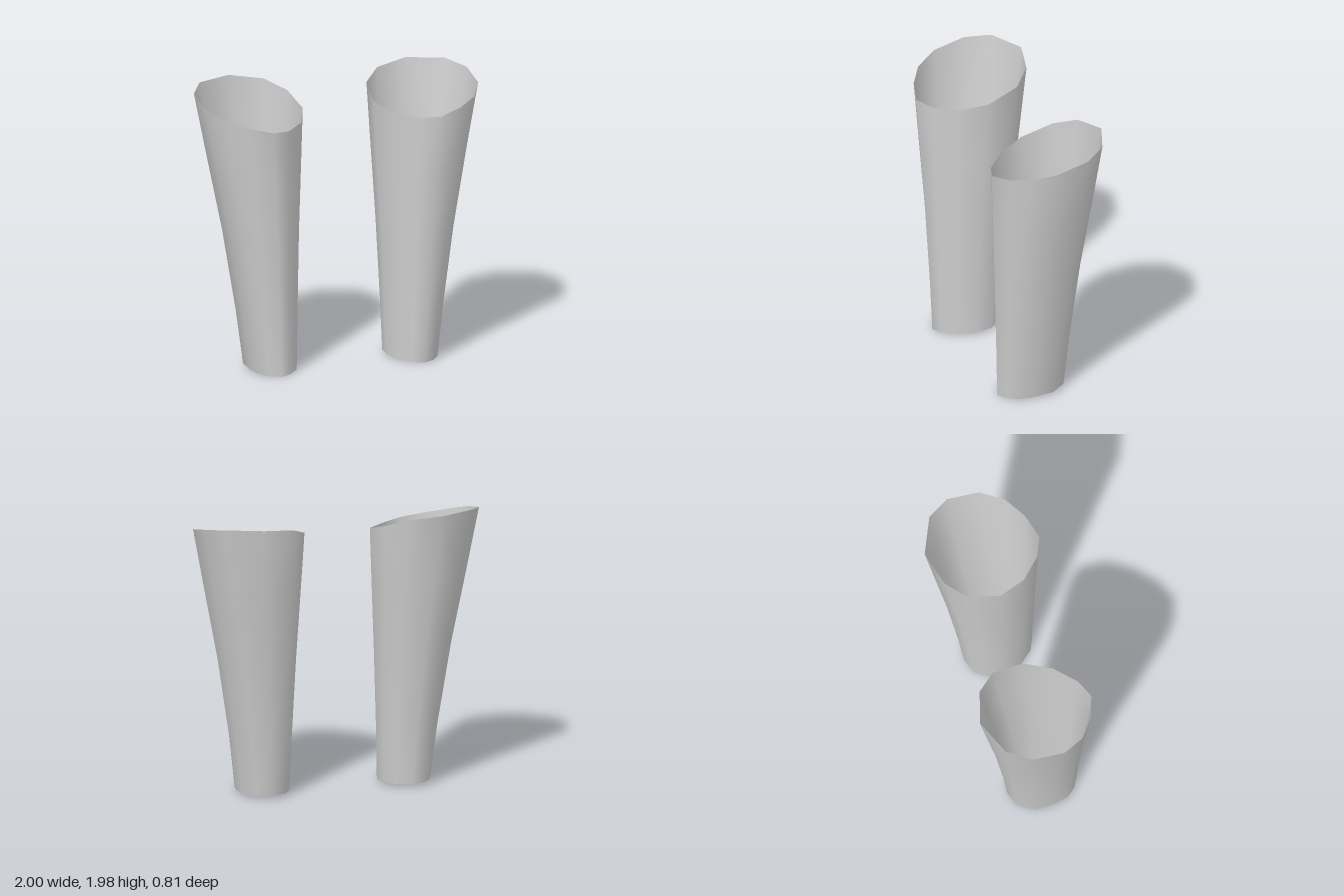
import * as THREE from 'three';

// Rim and hem of the model's left leg tube: 12 corners, starting at the inner side
const rim = [
  [0.26, 1.82, 0.02], [0.29, 1.89, -0.21], [0.415, 1.95, -0.34], [0.65, 1.98, -0.41],
  [0.9, 1.98, -0.3], [1, 1.95, -0.14], [1, 1.9, 0.09], [0.915, 1.85, 0.25],
  [0.775, 1.81, 0.35], [0.61, 1.775, 0.405], [0.48, 1.765, 0.35], [0.34, 1.775, 0.21],
];
const hem = [
  [0.333, 0.08], [0.34, -0.03], [0.4, -0.13], [0.51, -0.17], [0.61, -0.14], [0.68, -0.03],
  [0.68, 0.11], [0.655, 0.22], [0.6, 0.285], [0.525, 0.325], [0.45, 0.29], [0.37, 0.2],
];
// Each ring: [height fraction, how far the section has grown from hem to rim]
const rings = [[0, 0], [0.2, 0.15], [0.5, 0.43], [0.76, 0.73], [1, 1]];

// Open tube lofted from hem to rim; side is 1 for left, -1 for right
function legTube(side, material) {
  const n = rim.length, positions = [], index = [];
  for (const [height, grow] of rings) {
    for (let i = 0; i < n; i++) {
      const [rx, ry, rz] = rim[i], [hx, hz] = hem[i];
      const hy = (0.325 - hz) * 0.05;
      positions.push(
        side * THREE.MathUtils.lerp(hx, rx, grow),
        THREE.MathUtils.lerp(hy, ry, height),
        THREE.MathUtils.lerp(hz, rz, grow),
      );
    }
  }
  for (let r = 0; r < rings.length - 1; r++) {
    for (let i = 0; i < n; i++) {
      const a = r * n + i, b = r * n + (i + 1) % n;
      if (side > 0) index.push(b, a, a + n, b, a + n, b + n);
      else index.push(a, b, a + n, b, b + n, a + n);
    }
  }
  const geometry = new THREE.BufferGeometry();
  geometry.setAttribute('position', new THREE.Float32BufferAttribute(positions, 3));
  geometry.setIndex(index);
  geometry.computeVertexNormals();
  const mesh = new THREE.Mesh(geometry, material);
  mesh.name = side > 0 ? 'leftLegTube' : 'rightLegTube';
  return mesh;
}

export function createModel() {
  const cloth = new THREE.MeshStandardMaterial({ color: 0xcccccc, side: THREE.DoubleSide });
  cloth.name = 'light grey cloth';
  const model = new THREE.Group();
  model.name = 'legTubes';
  for (const side of [1, -1]) model.add(legTube(side, cloth));
  return model;
}
